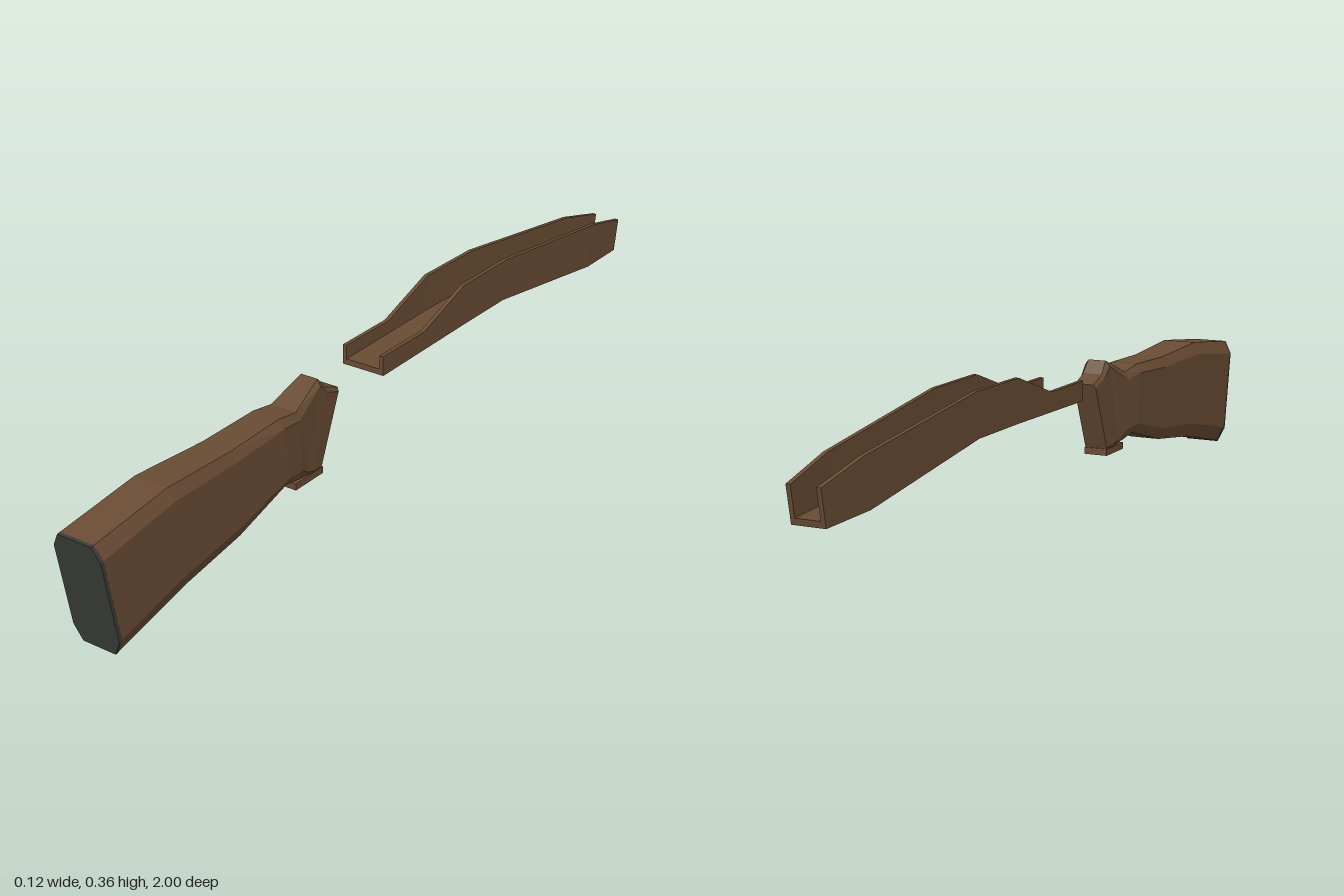
import * as THREE from 'three';

const wood = new THREE.MeshStandardMaterial({ color: 0x694c34 });
wood.name = 'brownWood';
const rubber = new THREE.MeshStandardMaterial({ color: 0x3a3c36 });
rubber.name = 'darkRubber';

// Joins closed rings (counter-clockwise seen from +z, ordered from +z to -z) into a capped, flat-faced solid.
function loft(rings) {
  const pos = [];
  const tri = (a, b, c) => pos.push(...a, ...b, ...c);
  const n = rings[0].length;
  for (let i = 0; i + 1 < rings.length; i++) {
    for (let j = 0; j < n; j++) {
      const k = (j + 1) % n;
      const a = rings[i][j], b = rings[i][k], c = rings[i + 1][k], d = rings[i + 1][j];
      tri(a, d, b);
      tri(b, d, c);
    }
  }
  const cap = (ring, flip) => {
    const flat = ring.map(p => new THREE.Vector2(p[0], p[1]));
    for (const [a, b, c] of THREE.ShapeUtils.triangulateShape(flat, [])) {
      if (flip) tri(ring[a], ring[c], ring[b]);
      else tri(ring[a], ring[b], ring[c]);
    }
  };
  cap(rings[0], false);
  cap(rings[rings.length - 1], true);
  const g = new THREE.BufferGeometry();
  g.setAttribute('position', new THREE.Float32BufferAttribute(pos, 3));
  g.computeVertexNormals();
  return g;
}

function part(name, geometry, material) {
  const m = new THREE.Mesh(geometry, material);
  m.name = name;
  return m;
}

// Slanted octagonal section: top and bottom edge, half width, half width of the flat, chamfer fractions.
function octagon([tz, ty, bz, by, w, f, ct = 0.12, cb = 0.14]) {
  const at = (x, u) => [x, by + (ty - by) * u, bz + (tz - bz) * u];
  return [at(-f, 0), at(f, 0), at(w, cb), at(w, 1 - ct),
    at(f, 1), at(-f, 1), at(-w, 1 - ct), at(-w, cb)];
}

// U-shaped section: top and bottom edge, half width; walls and floor are thin.
function channel([tz, ty, bz, by, w]) {
  const t = 0.01, u = 0.014 / (ty - by);
  const at = (x, v) => [x, by + (ty - by) * v, bz + (tz - bz) * v];
  return [at(-w, 0), at(w, 0), at(w, 1), at(w - t, 1),
    at(w - t, u), at(t - w, u), at(t - w, 1), at(-w, 1)];
}

export function createModel() {
  const model = new THREE.Group();

  // Shoulder stock, from the butt to the narrow neck
  model.add(part('shoulderStock', loft([
    [0.992, 0.266, 0.945, 0.004, 0.06, 0.043],
    [0.78, 0.292, 0.74, 0.052, 0.056, 0.042],
    [0.58, 0.283, 0.56, 0.077, 0.049, 0.037],
    [0.42, 0.287, 0.40, 0.122, 0.048, 0.034],
    [0.36, 0.278, 0.35, 0.114, 0.041, 0.033],
    [0.27, 0.317, 0.325, 0.104, 0.032, 0.022, 0.06, 0.06],
    [0.245, 0.288, 0.30, 0.10, 0.031, 0.024, 0.05, 0.05],
    [0.20, 0.27, 0.27, 0.10, 0.028, 0.023, 0.05, 0.05],
  ].map(octagon)), wood));

  // Butt plate
  model.add(part('buttPlate', loft([
    [1.0, 0.265, 0.953, 0, 0.06, 0.043],
    [0.992, 0.266, 0.945, 0.003, 0.06, 0.043],
  ].map(octagon)), rubber));

  // Small foot under the neck
  const foot = part('neckFoot', new THREE.BoxGeometry(0.058, 0.016, 0.096), wood);
  foot.position.set(0, 0.097, 0.313);
  model.add(foot);

  // Open fore-end channel
  model.add(part('foreEnd', loft([
    [0.075, 0.302, 0.075, 0.255, 0.055],
    [-0.085, 0.302, -0.085, 0.257, 0.055],
    [-0.245, 0.358, -0.245, 0.259, 0.055],
    [-0.43, 0.358, -0.42, 0.258, 0.053],
    [-0.86, 0.305, -0.84, 0.197, 0.045],
    [-1.0, 0.272, -0.985, 0.192, 0.038],
  ].map(channel)), wood));

  return model;
}
